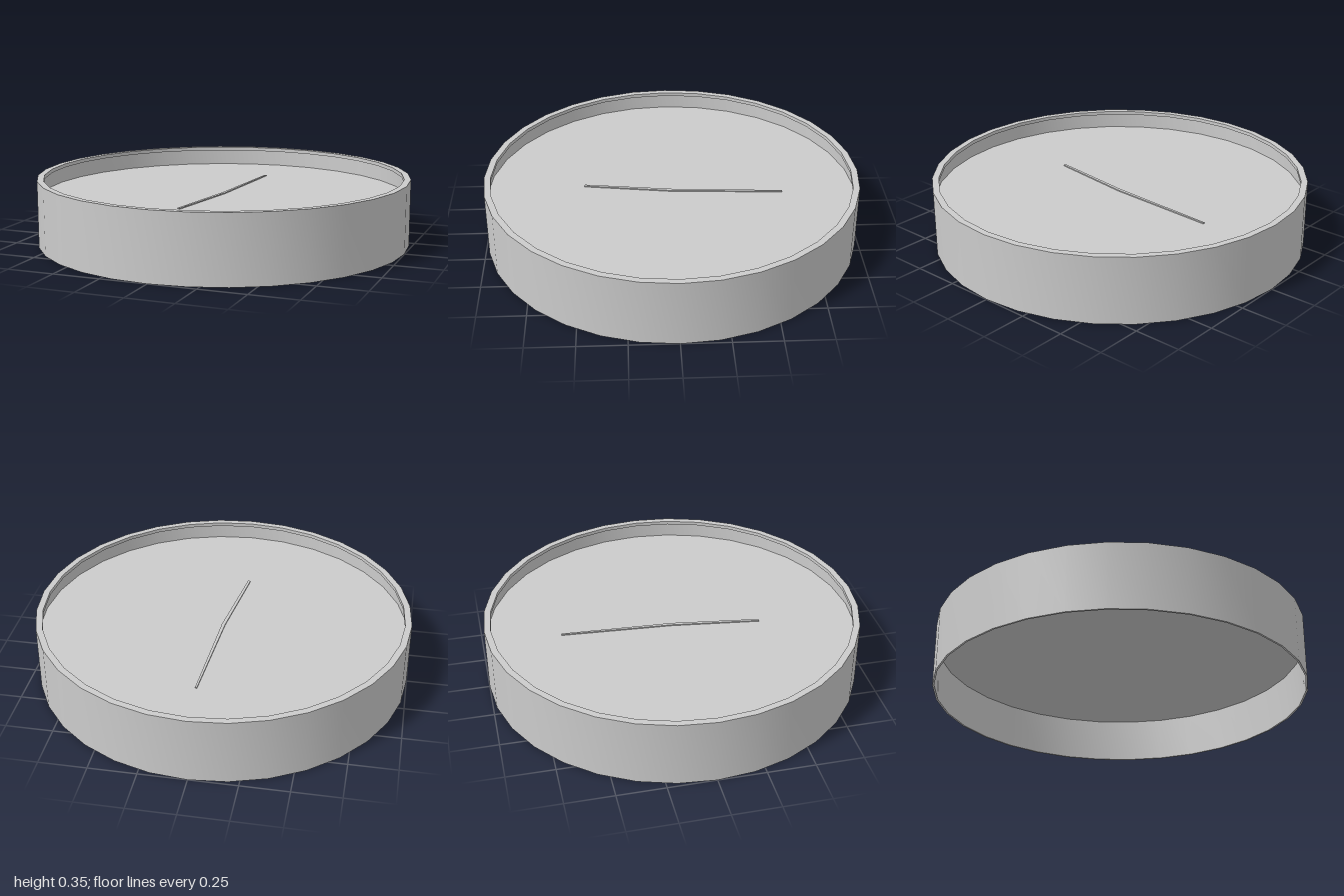
import * as THREE from 'three';
import { toCreasedNormals } from 'three/addons/utils/BufferGeometryUtils.js';

const SIDES = 32;
const HEIGHT = 0.355;
const FACE_Y = 0.247;

export function createModel() {
  const group = new THREE.Group();
  const grey = new THREE.MeshStandardMaterial({ color: 0xcccccc });
  const thin = new THREE.MeshStandardMaterial({ color: 0xcccccc, side: THREE.DoubleSide });

  const add = (name, geometry, material = grey) => {
    const mesh = new THREE.Mesh(geometry, material);
    mesh.name = name;
    group.add(mesh);
    return mesh;
  };

  // Thin round wall with an inward lip at the top, open underneath
  const profile = [
    [0.99, 0], [1, 0], [1, HEIGHT], [0.965, HEIGHT],
    [0.965, HEIGHT - 0.02], [0.99, HEIGHT - 0.02], [0.99, 0],
  ].map(([r, y]) => new THREE.Vector2(r, y));
  add('casing', toCreasedNormals(new THREE.LatheGeometry(profile, SIDES), 0.5));

  // Dial plate, recessed from both sides
  const dial = new THREE.CircleGeometry(0.99, SIDES).rotateX(-Math.PI / 2);
  add('dial', dial, thin).position.y = FACE_Y;

  // Slim tapered hand lying just above the dial, pointing from the centre to (x, z)
  const addHand = (name, x, z, rootWidth, tipWidth) => {
    const length = Math.hypot(x, z);
    const shape = new THREE.Shape([
      new THREE.Vector2(-rootWidth / 2, -0.01),
      new THREE.Vector2(rootWidth / 2, -0.01),
      new THREE.Vector2(tipWidth / 2, length),
      new THREE.Vector2(-tipWidth / 2, length),
    ]);
    const geometry = new THREE.ExtrudeGeometry(shape, { depth: 0.006, bevelEnabled: false });
    geometry.rotateX(-Math.PI / 2);
    const hand = add(name, geometry);
    hand.position.y = FACE_Y + 0.002;
    hand.rotation.y = Math.atan2(-x, -z);
  };
  addHand('minuteHand', 0.035, -0.595, 0.018, 0.01);
  addHand('hourHand', -0.065, 0.47, 0.018, 0.014);

  return group;
}
